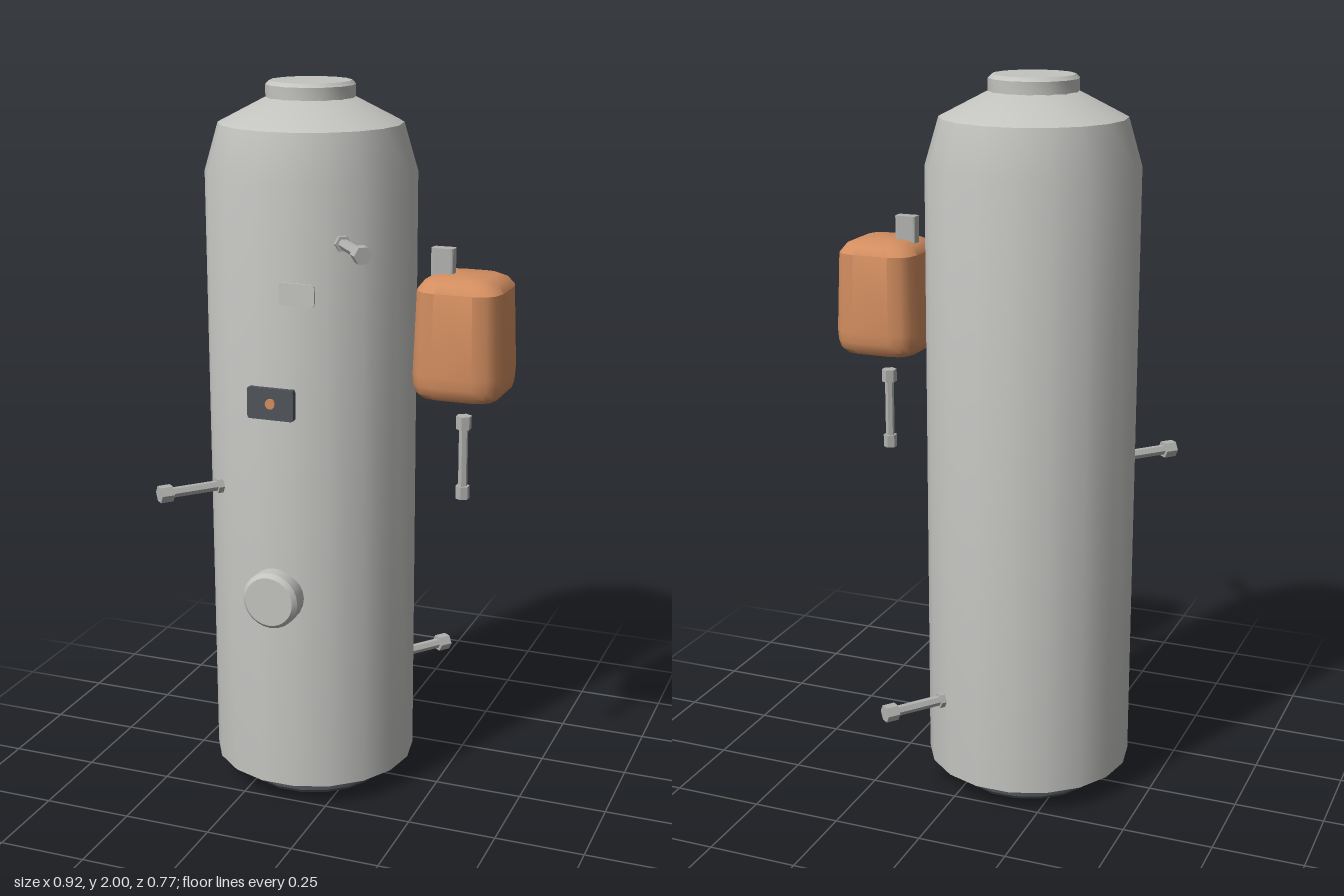
import * as THREE from 'three';
import { toCreasedNormals } from 'three/addons/utils/BufferGeometryUtils.js';

const mat = (name, color) => {
  const m = new THREE.MeshStandardMaterial({ color });
  m.name = name;
  return m;
};

export function createModel() {
  const model = new THREE.Group();
  model.name = 'waterHeater';
  const shell = mat('shell grey', 0xc3c3c0);
  const pipeGrey = mat('pipe grey', 0xb2b2b0);
  const charcoal = mat('charcoal', 0x50555a);
  const copper = mat('copper orange', 0xd38e60);
  const TX = -0.13; // tank axis

  const add = (name, geometry, material, x = 0, y = 0, z = 0, parent = model) => {
    const m = new THREE.Mesh(geometry, material);
    m.name = name;
    m.position.set(x, y, z);
    parent.add(m);
    return m;
  };
  const lathe = (points, sides, crease = 0.6) => toCreasedNormals(
    new THREE.LatheGeometry(points.map(([r, y]) => new THREE.Vector2(r, y)), sides, Math.PI / 2), crease);

  // Rounded plate facing +z, from z = 0 to depth
  const plate = (w, h, depth, r) => {
    const s = new THREE.Shape(), a = w / 2, b = h / 2;
    s.moveTo(-a + r, -b);
    s.lineTo(a - r, -b).quadraticCurveTo(a, -b, a, -b + r);
    s.lineTo(a, b - r).quadraticCurveTo(a, b, a - r, b);
    s.lineTo(-a + r, b).quadraticCurveTo(-a, b, -a, b - r);
    s.lineTo(-a, -b + r).quadraticCurveTo(-a, -b, -a + r, -b);
    return new THREE.ExtrudeGeometry(s, { depth, bevelEnabled: false, curveSegments: 3 });
  };

  // Main tank, plinth and top cap
  add('tank', lathe([[0, 0.065], [0.288, 0.065], [0.288, 1.76], [0.25, 1.89], [0.12, 1.957], [0, 1.957]], 18), shell, TX);
  add('plinth', lathe([[0, 0], [0.2, 0], [0.207, 0.01], [0.207, 0.066], [0, 0.066]], 18), charcoal, TX);
  add('topCap', lathe([[0, 1.95], [0.121, 1.95], [0.121, 1.99], [0.111, 2], [0, 2]], 14), shell, TX);

  // Inspection hatch on the front
  add('hatch', lathe([[0, 0], [0.08, 0], [0.08, 0.05], [0.069, 0.062], [0, 0.062]], 24).rotateX(Math.PI / 2),
    shell, TX, 0.635, 0.27);

  // Control panel, knob and label plate
  add('controlPanel', plate(0.132, 0.086, 0.017, 0.008), charcoal, TX - 0.002, 1.183, 0.28);
  add('knob', new THREE.CylinderGeometry(0.014, 0.014, 0.012, 12).rotateX(Math.PI / 2), copper, TX, 1.185, 0.298);
  add('labelPlate', plate(0.1, 0.06, 0.004, 0.012), shell, -0.055, 1.482, 0.289);

  // Pipe with hexagonal fittings at both ends, along local +x
  const pipe = (name, length, fittings) => {
    const g = new THREE.Group();
    g.name = name;
    const part = (n, r, from, to) => add(n,
      new THREE.CylinderGeometry(r, r, to - from, 6).rotateZ(-Math.PI / 2).toNonIndexed(), pipeGrey, (from + to) / 2, 0, 0, g);
    part('pipeTube', 0.0145, 0.005, length - 0.005);
    part('innerFitting', 0.022, 0, fittings[0]);
    part('outerFitting', 0.0245, length - fittings[1], length);
    g.traverse((o) => o.isMesh && o.geometry.computeVertexNormals());
    model.add(g);
    return g;
  };

  // Radial connections: height and angle from +x towards +z
  [['hotOutlet', 1.612, 52], ['returnInlet', 0.912, 131.5], ['coldInlet', 0.282, -52]].forEach(([name, y, deg]) => {
    const a = deg * Math.PI / 180, g = pipe(name, 0.195, [0.026, 0.036]);
    g.position.set(TX + 0.273 * Math.cos(a), y, 0.273 * Math.sin(a));
    g.rotation.y = -a;
  });

  // Expansion vessel: turned profile squared off into a superellipse
  const VX = 0.335, VZ = 0.075;
  const profile = [[0, 1.2], [0.085, 1.2], [0.104, 1.205], [0.117, 1.218], [0.123, 1.24], [0.125, 1.27],
    [0.117, 1.49], [0.1, 1.512], [0.075, 1.523], [0, 1.525]];
  const vessel = new THREE.LatheGeometry(profile.map(([r, y]) => new THREE.Vector2(r, y)), 16, Math.PI / 16);
  const p = vessel.attributes.position;
  for (let i = 0; i < p.count; i++) {
    const r = Math.hypot(p.getX(i), p.getZ(i));
    const square = (v) => (r < 1e-6 ? 0 : Math.sign(v) * r * Math.sqrt(Math.abs(v) / r));
    p.setXYZ(i, square(p.getX(i)), p.getY(i), square(p.getZ(i)));
  }
  add('expansionVessel', toCreasedNormals(vessel, 0.62), copper, VX, 0, VZ);

  // Valve stub on the vessel and drop pipe below it
  add('valveStub', plate(0.062, 0.034, 0.075, 0.008).rotateX(-Math.PI / 2), pipeGrey, 0.272, 1.515, VZ);
  const drop = pipe('dropPipe', 0.232, [0.036, 0.036]);
  drop.position.set(VX, 0.908, VZ);
  drop.rotation.z = Math.PI / 2;
  drop.scale.set(1, 0.88, 0.88);

  return model;
}
